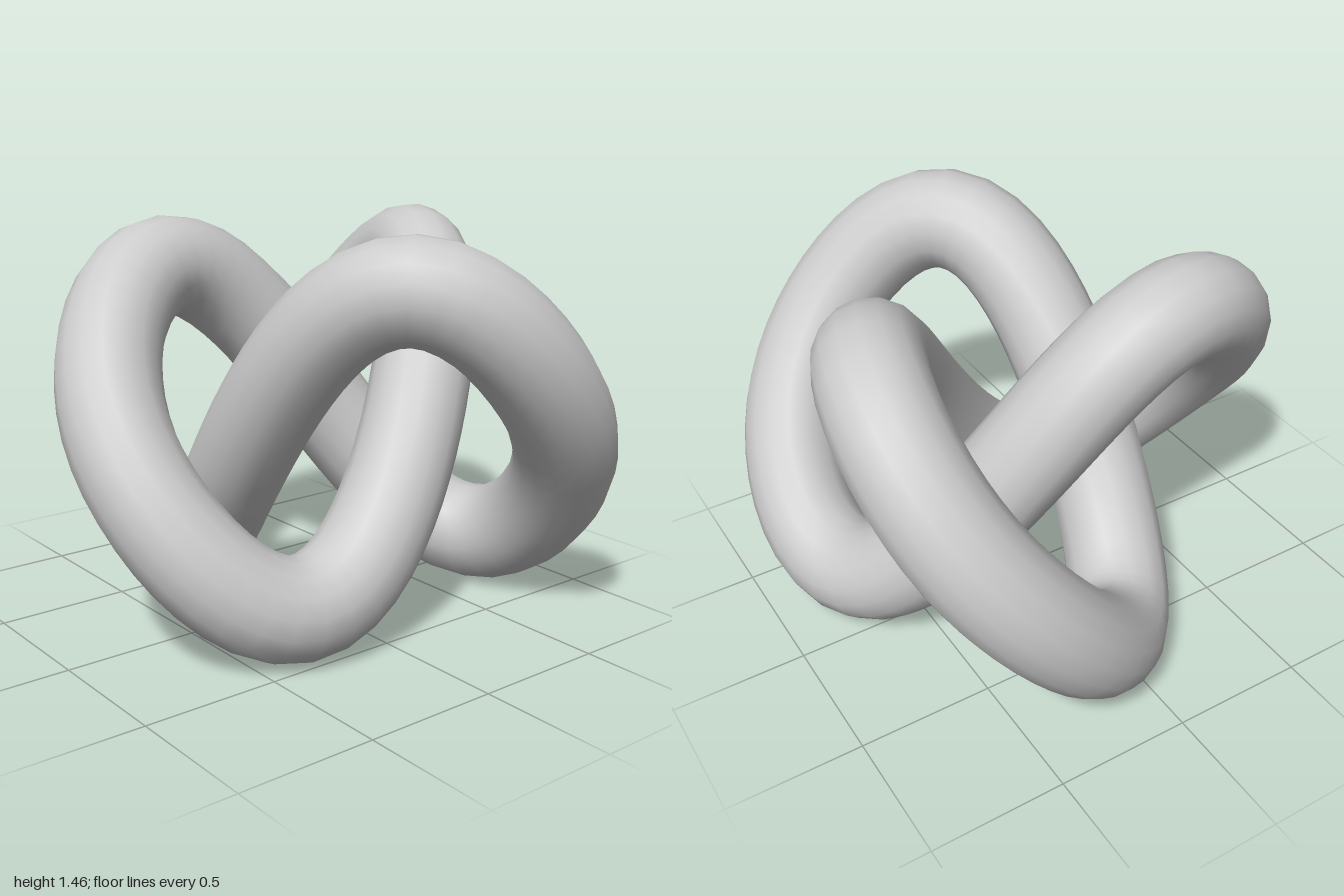
import * as THREE from 'three';

// Closed trefoil centre line: three lobes around the vertical axis
class TrefoilCurve extends THREE.Curve {
  getPoint(u, target = new THREE.Vector3()) {
    const t = u * Math.PI * 2;
    const inner = 0.28, outer = 0.61, rise = 0.529;
    return target.set(
      0.135 + inner * Math.cos(t) - outer * Math.cos(2 * t),
      // the second harmonic rounds the lobes and steepens the inner strands
      0.732 + rise * (Math.sin(3 * t) + 0.13 * Math.sin(6 * t)),
      inner * Math.sin(t) + outer * Math.sin(2 * t)
    );
  }
}

export function createModel() {
  const group = new THREE.Group();
  group.name = 'trefoilKnot';

  // Round tube swept along the knot
  const tube = new THREE.Mesh(
    new THREE.TubeGeometry(new TrefoilCurve(), 120, 0.187, 16, true),
    new THREE.MeshStandardMaterial({ color: 0xcccccc })
  );
  tube.name = 'knotTube';
  group.add(tube);
  return group;
}
